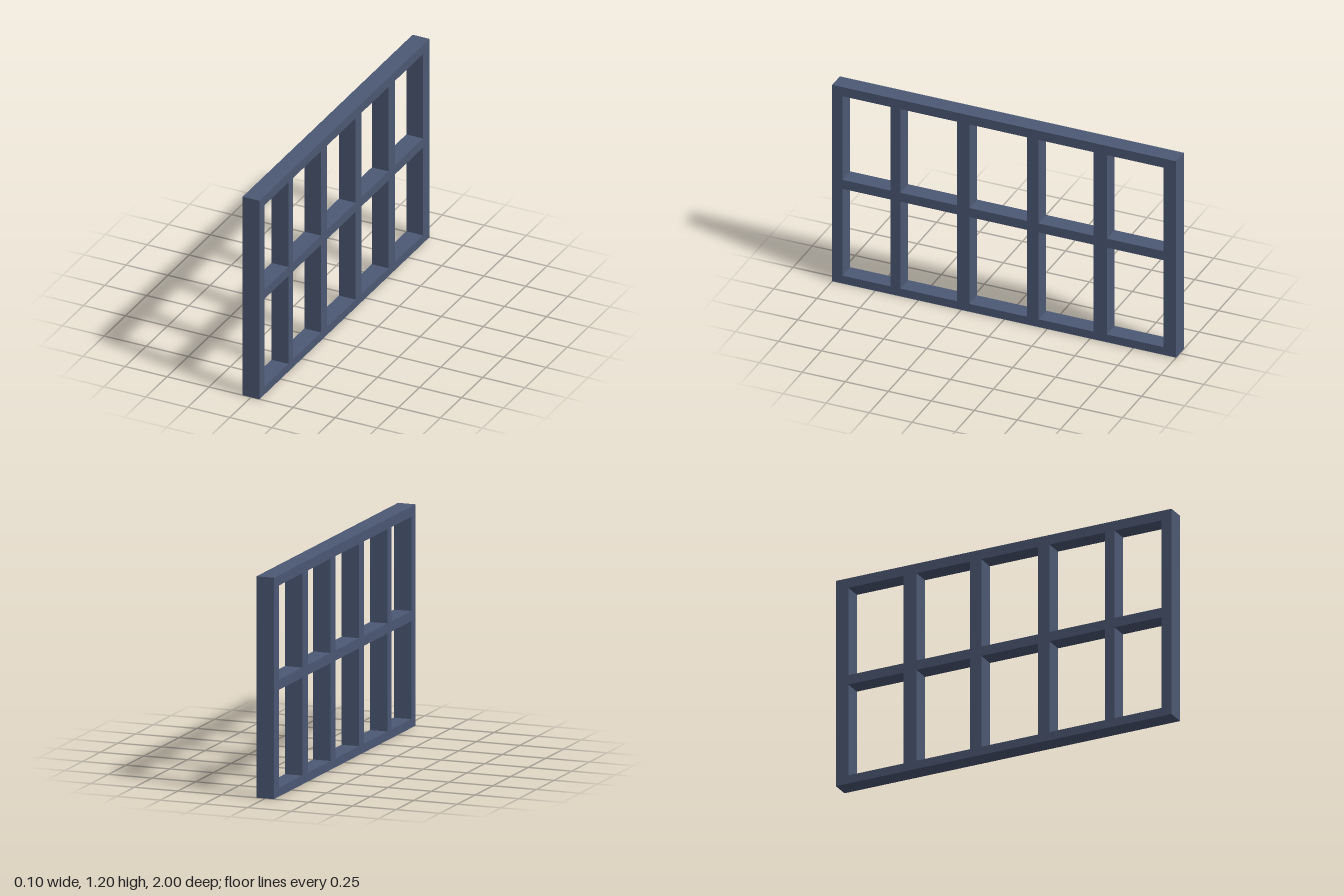
import * as THREE from 'three';

const DEPTH = 0.1;

export function createModel() {
  const model = new THREE.Group();
  model.name = 'windowFrame';
  const material = new THREE.MeshStandardMaterial({ color: 0x4c5975 });

  // A bar spanning y0..y1 and z0..z1, as thick as the frame
  function addBar(name, y0, y1, z0, z1) {
    const bar = new THREE.Mesh(new THREE.BoxGeometry(DEPTH, y1 - y0, z1 - z0), material);
    bar.name = name;
    bar.position.set(0, (y0 + y1) / 2, (z0 + z1) / 2);
    model.add(bar);
  }

  // Horizontal rails over the full length
  const rails = [
    ['bottomRail', 0, 0.048],
    ['middleRail', 0.58, 0.635],
    ['topRail', 1.147, 1.203],
  ];
  for (const [name, y0, y1] of rails) addBar(name, y0, y1, -1, 1);

  // Uprights, fitted between neighbouring rails
  const uprights = [
    ['frontPost', 0.94, 1],
    ['mullion1', 0.603, 0.66],
    ['mullion2', 0.203, 0.273],
    ['mullion3', -0.2, -0.133],
    ['mullion4', -0.598, -0.52],
    ['backPost', -1, -0.926],
  ];
  for (const [name, z0, z1] of uprights) {
    addBar(name + 'Lower', rails[0][2], rails[1][1], z0, z1);
    addBar(name + 'Upper', rails[1][2], rails[2][1], z0, z1);
  }

  return model;
}
